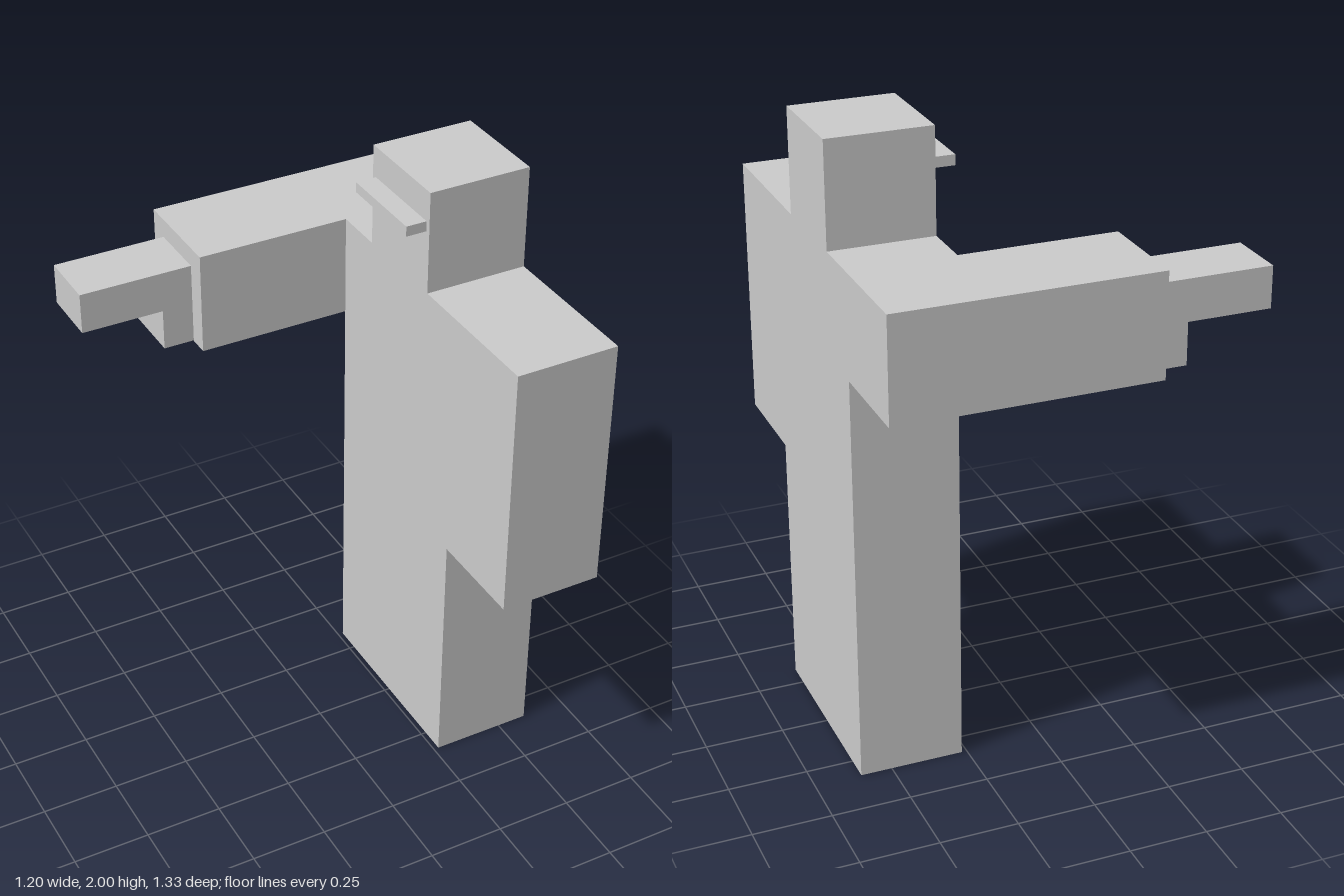
import * as THREE from 'three';

export function createModel() {
  const model = new THREE.Group();
  const material = new THREE.MeshStandardMaterial({ color: 0xcccccc, flatShading: true });

  // Box given by its [min, max] extent on each axis
  function block(name, [x0, x1], [y0, y1], [z0, z1]) {
    const mesh = new THREE.Mesh(new THREE.BoxGeometry(x1 - x0, y1 - y0, z1 - z0), material);
    mesh.position.set((x0 + x1) / 2, (y0 + y1) / 2, (z0 + z1) / 2);
    mesh.name = name;
    model.add(mesh);
  }

  const back = 0.6, chest = 0.267; // the figure looks towards -x
  const depth = [chest, back];

  // Body
  block('legFront', depth, [0, 0.833], [0, 0.333]);
  block('legRear', depth, [0, 0.833], [-0.333, 0]);
  block('torso', depth, [0.833, 1.667], [-0.333, 0.333]);
  block('head', depth, [1.667, 2], [-0.167, 0.167]);
  block('capBrim', [0.2, chest], [1.867, 1.9], [-0.15, 0.15]);

  // One arm hangs, the other reaches forward
  block('loweredArm', depth, [0.833, 1.667], [0.333, 0.667]);
  block('raisedArm', [-0.233, back], [1.333, 1.667], [-0.667, -0.333]);

  // Held tool: barrel and grip
  block('toolBarrel', [-0.6, -0.233], [1.47, 1.603], [-0.6, -0.4]);
  block('toolGrip', [-0.333, -0.233], [1.335, 1.47], [-0.6, -0.4]);

  return model;
}
